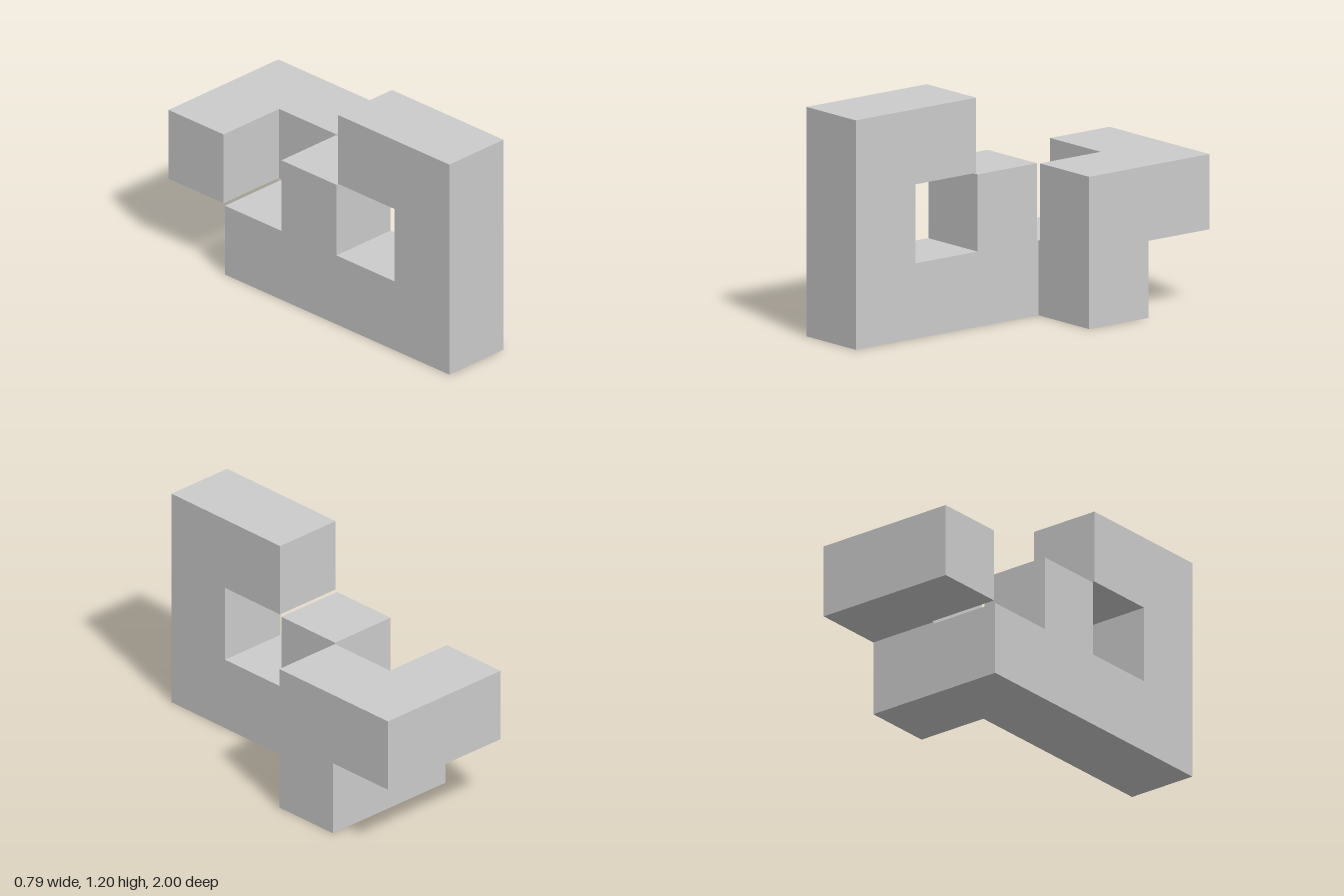
import * as THREE from 'three';

const P = 0.402;              // cell pitch
const E = 0.005;              // inset of every exposed face
const H = P - E;              // half width
const TOP = 2 * P - 2 * E;    // height of the middle level
const FLOOR = P - 2 * E;      // top of the lowest level

// Extrudes a closed outline by depth along +z.
function prism(name, outline, depth, material) {
  const shape = new THREE.Shape(outline.map(([a, b]) => new THREE.Vector2(a, b)));
  const geometry = new THREE.ExtrudeGeometry(shape, { depth, bevelEnabled: false });
  const mesh = new THREE.Mesh(geometry, material);
  mesh.name = name;
  return mesh;
}

export function createModel() {
  const group = new THREE.Group();
  group.name = 'cubePuzzlePiece';
  const material = new THREE.MeshStandardMaterial({ color: 0xcccccc, flatShading: true });
  const a = P / 2, b = 1.5 * P; // cell borders along z

  // Long side wall with hooked post and middle block, outline in (z, y)
  const wall = prism('hookedWall', [
    [1, 0], [1, 3 * P - 2 * E], [a + E, 3 * P - 2 * E], [a + E, 2 * P],
    [b + E, 2 * P], [b + E, FLOOR], [a - E, FLOOR], [a - E, TOP],
    [-a + E, TOP], [-a + E, FLOOR], [-b + E, FLOOR], [-b + E, 0],
  ], H - E, material);
  wall.rotation.y = -Math.PI / 2;
  wall.position.x = -E;

  // Foot joining the wall to the raised arm, outline in (x, y)
  const foot = prism('sideFoot', [
    [-E, 0], [H, 0], [H, P], [E, P], [E, FLOOR], [-E, FLOOR],
  ], P - 2 * E, material);
  foot.position.z = -b + E;

  // Raised L-shaped arm at the back, outline in (x, z)
  const arm = prism('raisedArm', [
    [-H, -1], [H, -1], [H, -a - E], [E, -a - E], [E, -b - E], [-H, -b - E],
  ], TOP - P, material);
  arm.rotation.x = Math.PI / 2;
  arm.position.y = TOP;

  group.add(wall, foot, arm);
  return group;
}
